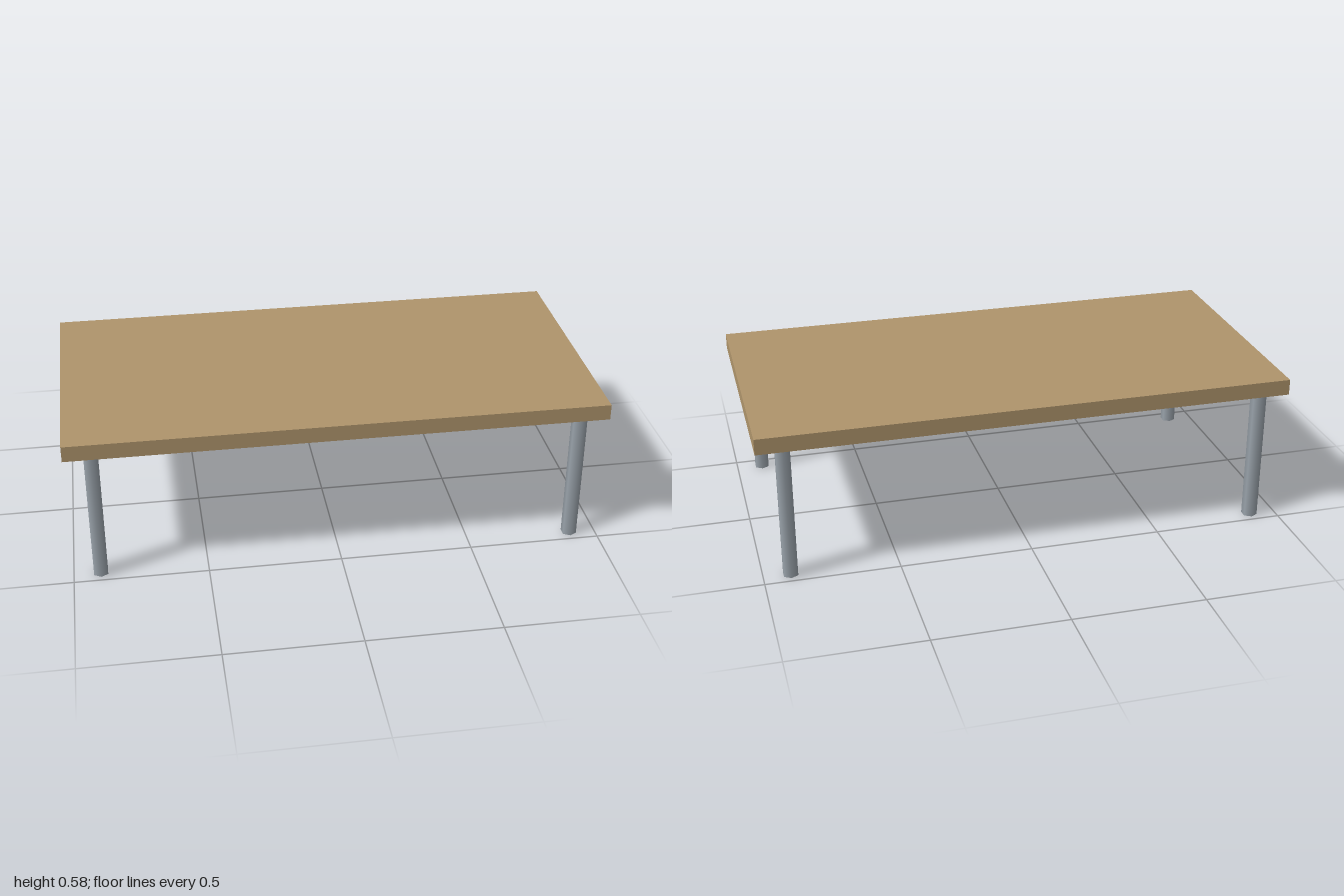
import * as THREE from 'three';

export function createModel() {
  const table = new THREE.Group();
  table.name = 'table';
  const wood = new THREE.MeshStandardMaterial({ color: 0xb0956c });
  const metal = new THREE.MeshStandardMaterial({ color: 0x9aa3ab });

  // Flat slab top
  const top = new THREE.Mesh(new THREE.BoxGeometry(2, 0.06, 1), wood);
  top.name = 'tableTop';
  top.position.y = 0.55;
  table.add(top);

  // Four six-sided, smooth-shaded legs near the corners
  const legGeometry = new THREE.CylinderGeometry(0.03, 0.03, 0.52, 6);
  for (const [side, x] of [['Left', 0.9], ['Right', -0.9]]) {
    for (const [end, z] of [['front', 0.45], ['back', -0.45]]) {
      const leg = new THREE.Mesh(legGeometry, metal);
      leg.name = `${end}${side}Leg`;
      leg.position.set(x, 0.26, z);
      table.add(leg);
    }
  }
  return table;
}
